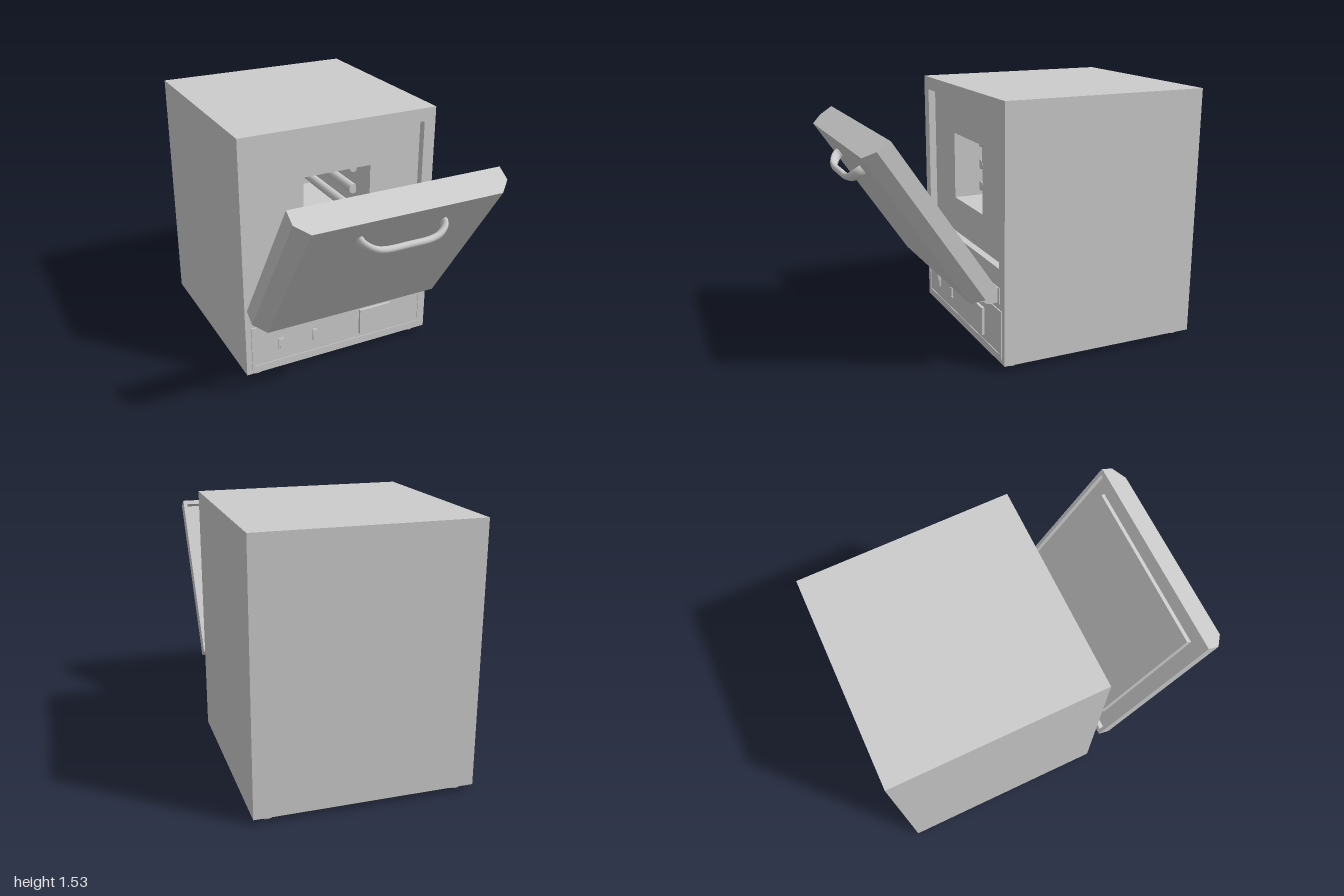
import * as THREE from 'three';

const grey = new THREE.MeshStandardMaterial({ color: 0xcccccc, side: THREE.DoubleSide });

function add(parent, name, geometry, x = 0, y = 0, z = 0) {
  const m = new THREE.Mesh(geometry, grey);
  m.name = name;
  m.position.set(x, y, z);
  parent.add(m);
  return m;
}

// Box given by its limits
function box(parent, name, x0, x1, y0, y1, z0, z1) {
  return add(parent, name, new THREE.BoxGeometry(x1 - x0, y1 - y0, z1 - z0),
    (x0 + x1) / 2, (y0 + y1) / 2, (z0 + z1) / 2);
}

const corners = (x0, x1, y0, y1) =>
  [[x0, y0], [x1, y0], [x1, y1], [x0, y1]].map(([x, y]) => new THREE.Vector2(x, y));

// Rectangular plate with a rectangular hole, extruded from z0 to z1
function frame(parent, name, outer, hole, z0, z1) {
  const shape = new THREE.Shape(corners(...outer));
  shape.holes.push(new THREE.Path(corners(...hole)));
  return add(parent, name, new THREE.ExtrudeGeometry(shape, { depth: z1 - z0, bevelEnabled: false }), 0, 0, z0);
}

function makeBody() {
  const g = new THREE.Group();
  g.name = 'body';
  const outer = [-0.625, 0.625, 0.03, 1.53];
  frame(g, 'frontFrame', outer, [-0.55, 0.55, 0.59, 1.45], 0.205, 0.25);
  frame(g, 'chamberWalls', outer, [-0.217, 0.217, 0.81, 1.22], -0.6, 0.205);
  box(g, 'rearHousing', -0.625, 0.625, 0.03, 1.53, -1, -0.6);

  // Heating rods along both chamber walls
  for (const side of [-1, 1]) for (const y of [0.87, 1.01, 1.15]) {
    const rod = add(g, 'heatingRod', new THREE.CylinderGeometry(0.03, 0.03, 0.64, 20), side * 0.2, y, -0.28);
    rod.rotation.x = Math.PI / 2;
  }

  // Control panel
  frame(g, 'panelFrame', [-0.59, 0.59, 0.06, 0.35], [-0.57, 0.57, 0.085, 0.33], 0.245, 0.257);
  box(g, 'controlPanel', -0.57, 0.57, 0.085, 0.33, 0.245, 0.253);
  box(g, 'display', 0.135, 0.35, 0.115, 0.285, 0.25, 0.27);
  for (const x of [-0.4, -0.175]) {
    box(g, 'switchBase', x - 0.018, x + 0.018, 0.16, 0.235, 0.25, 0.261);
    box(g, 'switchRocker', x - 0.012, x + 0.012, 0.167, 0.228, 0.25, 0.266);
  }

  // Hollow tapered feet
  const profile = [[0, 0.015], [0.028, 0.015], [0.03, 0], [0.038, 0], [0.047, 0.03]]
    .map(([r, y]) => new THREE.Vector2(r, y));
  for (const x of [-0.54, 0.54]) for (const z of [0.18, -0.925]) {
    const foot = new THREE.LatheGeometry(profile, 28).toNonIndexed();
    foot.computeVertexNormals();
    add(g, 'foot', foot, x, 0, z);
  }
  return g;
}

function makeHandle(parent) {
  const half = [[0.25, 0.885, 0.15], [0.245, 0.885, 0.185], [0.2, 0.88, 0.225], [0.14, 0.878, 0.242]];
  const points = [
    ...half.map(([x, y, z]) => new THREE.Vector3(-x, y, z)),
    new THREE.Vector3(0, 0.878, 0.245),
    ...half.reverse().map(([x, y, z]) => new THREE.Vector3(x, y, z)),
  ];
  const geo = new THREE.TubeGeometry(new THREE.CatmullRomCurve3(points), 64, 0.019, 16);
  // Flare the grip towards its mounts
  const p = geo.attributes.position;
  for (let i = 0; i < p.count; i++) {
    const flare = 1 + 0.6 * THREE.MathUtils.smoothstep(Math.abs(p.getX(i)), 0.12, 0.24);
    p.setY(i, 0.88 + (p.getY(i) - 0.88) * flare);
  }
  geo.computeVertexNormals();
  add(parent, 'handle', geo);
}

// Door in its own frame: y runs up the door, z points outwards
function makeDoor() {
  const g = new THREE.Group();
  g.name = 'door';
  const H = 1.043, T = 0.16, rim = 0.036;

  // Slab with chamfered sides
  const outline = [[-0.625, rim], [0.625, rim], [0.625, 0.088], [0.555, T], [-0.555, T], [-0.625, 0.088]];
  const slab = new THREE.ExtrudeGeometry(
    new THREE.Shape(outline.map(([x, z]) => new THREE.Vector2(x, -z)).reverse()),
    { depth: H, bevelEnabled: false });
  slab.rotateX(-Math.PI / 2);
  add(g, 'doorSlab', slab);
  frame(g, 'doorRim', [-0.625, 0.625, 0, H], [-0.603, 0.603, 0.027, H - 0.027], 0, rim);

  // Insulating plug, slightly tapered towards the chamber
  const plug = new THREE.BoxGeometry(1.05, 0.845, 0.03);
  const p = plug.attributes.position;
  for (let i = 0; i < p.count; i++) if (p.getZ(i) < 0) {
    p.setX(i, p.getX(i) * 0.98);
    p.setY(i, p.getY(i) * 0.985);
  }
  plug.computeVertexNormals();
  add(g, 'doorPlug', plug, 0, 0.518, 0.027);

  makeHandle(g);
  g.position.set(0, 0.5, 0.29);
  g.rotation.x = 0.584;
  return g;
}

function makeHinge(x) {
  const g = new THREE.Group();
  g.name = 'hinge';
  const y = 0.435, z = 0.305;
  box(g, 'hingePlate', x - 0.1, x + 0.1, 0.385, 0.48, 0.25, 0.256);

  // Side profiles, drawn with z across and y up, extruded along x
  const plate = (name, pts, x0, x1) => {
    const shape = new THREE.Shape(pts.map(([a, b]) => new THREE.Vector2(-a, b)));
    const geo = new THREE.ExtrudeGeometry(shape, { depth: x1 - x0, bevelEnabled: false });
    geo.rotateY(Math.PI / 2);
    add(g, name, geo, x0, 0, 0);
  };
  const ear = [[0.25, 0.39], [0.25, 0.48]];
  for (let i = 0; i <= 12; i++) {
    const a = Math.PI / 2 - (i / 12) * Math.PI;
    ear.push([z + 0.045 * Math.cos(a), y + 0.045 * Math.sin(a)]);
  }
  for (const s of [-1, 1]) plate('hingeEar', ear, x + s * 0.07 - 0.01, x + s * 0.07 + 0.01);
  plate('hingeArm', [[0.28, 0.4], [0.345, 0.392], [0.385, 0.455], [0.3, 0.505], [0.275, 0.45]], x - 0.045, x + 0.045);

  const pin = add(g, 'hingePin', new THREE.CylinderGeometry(0.03, 0.03, 0.168, 24), x, y, z);
  pin.rotation.z = Math.PI / 2;
  return g;
}

export function createModel() {
  const model = new THREE.Group();
  model.name = 'chamberFurnace';
  model.add(makeBody(), makeDoor(), makeHinge(-0.465), makeHinge(0.465));
  return model;
}
